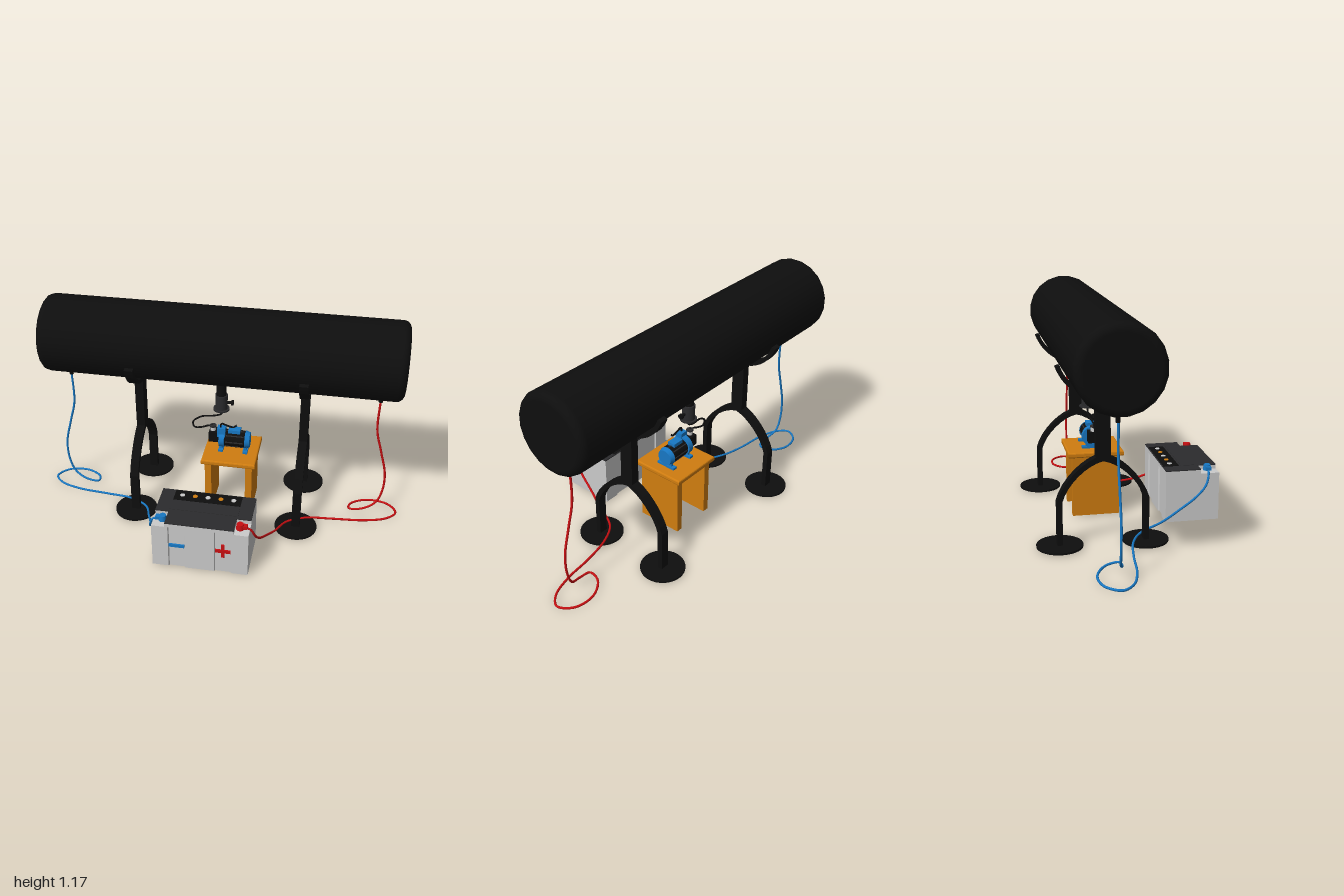
import * as THREE from 'three';

const mat = (name, color, side = THREE.FrontSide) => {
  const m = new THREE.MeshStandardMaterial({ color, side });
  m.name = name;
  return m;
};

export function createModel() {
  const black = mat('black', 0x0e0e0e), charcoal = mat('charcoal', 0x2b2b2d);
  const grey = mat('light grey', 0xcbcbcb), orange = mat('orange', 0xd07d10);
  const red = mat('red', 0xc80f12), blue = mat('blue', 0x1878c4);
  const root = new THREE.Group();
  root.name = 'tankAndBattery';

  const group = (name, parent = root) => {
    const g = new THREE.Group();
    g.name = name;
    parent.add(g);
    return g;
  };
  const add = (parent, name, geo, m, x = 0, y = 0, z = 0) => {
    const mesh = new THREE.Mesh(geo, m);
    mesh.name = name;
    mesh.position.set(x, y, z);
    parent.add(mesh);
    return mesh;
  };
  const box = (p, name, m, w, h, d, x, y, z) => add(p, name, new THREE.BoxGeometry(w, h, d), m, x, y, z);
  const cyl = (p, name, m, r1, r2, h, x, y, z, axis = 'y', n = 20) => {
    const g = new THREE.CylinderGeometry(r1, r2, h, n);
    if (axis === 'x') g.rotateZ(-Math.PI / 2);
    if (axis === 'z') g.rotateX(Math.PI / 2);
    return add(p, name, g, m, x, y, z);
  };
  const tube = (p, name, m, pts, r, n = 100) => add(p, name, new THREE.TubeGeometry(
    new THREE.CatmullRomCurve3(pts.map(a => new THREE.Vector3(...a)), false, 'centripetal'), n, r, 8), m);
  const V2 = (x, y) => new THREE.Vector2(x, y);
  const slab = (pts, depth, bevel = 0) => new THREE.ExtrudeGeometry(new THREE.Shape(pts), {
    depth, bevelEnabled: bevel > 0, bevelSize: bevel, bevelThickness: bevel, bevelOffset: -bevel, bevelSegments: 2
  });
  // Shape drawn in (z, y) and extruded across x
  const sideSlab = (pts, width) => slab(pts.map(p => V2(-p.x, p.y)), width).translate(0, 0, -width / 2).rotateY(Math.PI / 2);
  // Shape drawn in (x, z) and extruded upwards
  const planSlab = (pts, h) => slab(pts.map(([x, z]) => V2(x, -z)), h).rotateX(-Math.PI / 2);

  const CZ = -0.163, CY = 0.973;

  // Tank with rounded rims
  const rim = [];
  for (let i = 0; i <= 5; i++) {
    const a = (i / 5) * Math.PI / 2;
    rim.push(V2(0.167 + 0.04 * Math.cos(a), 0.91 + 0.04 * Math.sin(a)));
  }
  const tankProfile = [V2(0, -0.95), ...rim.map(p => V2(p.x, -p.y)).reverse(), ...rim, V2(0, 0.95)];
  const tankGeo = new THREE.LatheGeometry(tankProfile, 20, Math.PI / 20).rotateZ(-Math.PI / 2);
  add(root, 'tank', tankGeo, black, 0, CY, CZ);

  // Two stands: saddle, post, forked legs and round feet
  const saddle = [], N = 20;
  for (const r of [0.235, 0.213]) for (let i = 0; i <= N; i++) {
    const t = r > 0.22 ? i / N : 1 - i / N;
    const a = (-162 + 144 * t) * Math.PI / 180;
    saddle.push(V2(r * Math.cos(a), r * Math.sin(a)));
  }
  const arch = (rz, top, flip) => {
    const line = [V2(rz, 0.012), V2(rz, 0.24)];
    for (let i = 1; i <= 8; i++) {
      const t = i / 8, u = 1 - t;
      line.push(V2(rz * u ** 3 + 3 * u * u * t * rz * 0.88 + 3 * u * t * t * rz * 0.4,
        0.24 * u ** 3 + 3 * u * u * t * (0.24 + (top - 0.24) * 0.45) + 3 * u * t * t * (top - 0.015) + top * t ** 3));
    }
    line.push(...line.slice(0, -1).reverse().map(p => V2(-p.x, p.y)));
    return flip ? line.reverse() : line;
  };
  for (const s of [-1, 1]) {
    const g = group(s > 0 ? 'leftStand' : 'rightStand');
    g.position.set(s * 0.45, 0, CZ);
    add(g, 'saddle', sideSlab(saddle, 0.046), black, 0, CY, 0);
    box(g, 'post', black, 0.046, 0.33, 0.072, 0, 0.605, 0);
    add(g, 'legs', sideSlab([...arch(0.227, 0.465), ...arch(0.2, 0.435, true)], 0.046), black);
    for (const z of [-0.213, 0.213]) cyl(g, 'foot', black, 0.115, 0.115, 0.01, 0, 0.014, z, 'y', 32);
  }

  // Cables, one mirrored from the other, with a nipple under the tank
  const path = [[0.838, 0.75, -0.16], [0.838, 0.55, -0.16], [0.87, 0.42, -0.16], [0.905, 0.27, -0.16],
    [0.9, 0.15, -0.16], [0.87, 0.075, -0.155], [0.8, 0.04, -0.135], [0.73, 0.028, -0.14], [0.74, 0.02, -0.2],
    [0.83, 0.014, -0.255], [0.94, 0.012, -0.24], [0.99, 0.011, -0.17], [0.94, 0.01, -0.11],
    [0.82, 0.01, -0.07], [0.65, 0.012, -0.05], [0.5, 0.022, -0.02], [0.4, 0.028, 0.04], [0.35, 0.055, 0.16],
    [0.315, 0.1, 0.26], [0.29, 0.155, 0.355], [0.275, 0.21, 0.41], [0.25, 0.265, 0.43], [0.2, 0.283, 0.435]];
  for (const s of [-1, 1]) {
    const m = s > 0 ? red : blue, g = group(s > 0 ? 'redCable' : 'blueCable');
    tube(g, 'cable', m, path.map(([x, y, z]) => [s * x, y, z]), 0.006, 200);
    const nipple = [[0.006, 0], [0.011, 0], [0.011, 0.032], [0.04, 0.042], [0.045, 0.06]].map(p => V2(...p));
    add(g, 'nipple', new THREE.LatheGeometry(nipple, 16), black, s * 0.838, 0.725, CZ);
    // Battery terminal clamp
    cyl(g, 'terminal', m, 0.018, 0.022, 0.03, s * 0.2, 0.283, 0.435);
    box(g, 'clamp', m, 0.034, 0.018, 0.026, s * 0.22, 0.283, 0.435);
  }

  // Battery case with recessed panels on front and back
  const battery = group('battery');
  const fz = 0.487, bz = 0.203, d = 0.008;
  const front = [[-0.25, fz], [-0.165, fz], [-0.16, fz - d], [-0.08, fz - d], [-0.075, fz], [0.075, fz],
    [0.08, fz - d], [0.16, fz - d], [0.165, fz], [0.25, fz]];
  const back = front.map(([x, z]) => [-x, bz + fz - z]);
  add(battery, 'case', planSlab([...front, ...back], 0.255), grey, 0, 0.01, 0);
  const lid = [[-0.25, 0.388], [-0.18, 0.388], [-0.18, fz], [0.175, fz], [0.175, 0.388], [0.25, 0.388], [0.25, bz], [-0.25, bz]];
  add(battery, 'shoulder', planSlab(lid, 0.02), grey, 0, 0.265, 0);
  add(battery, 'lid', planSlab(lid, 0.005), charcoal, 0, 0.285, 0);
  box(battery, 'capStrip', black, 0.355, 0.003, 0.082, 0, 0.2905, 0.248);
  box(battery, 'lidPanel', charcoal, 0.355, 0.003, 0.07, 0, 0.2905, 0.336);
  for (let i = 0; i < 5; i++)
    cyl(battery, 'ventCap', i % 2 ? orange : grey, 0.013, 0.013, 0.004, -0.136 + i * 0.068, 0.293, 0.248);
  box(battery, 'minusSign', blue, 0.08, 0.017, 0.009, -0.12, 0.148, 0.484);
  box(battery, 'plusBar', red, 0.08, 0.017, 0.009, 0.12, 0.148, 0.486);
  box(battery, 'plusUpright', red, 0.017, 0.08, 0.008, 0.12, 0.148, 0.484);
  const mark = cyl(battery, 'bottomMark', black, 0.05, 0.05, 0.004, 0, 0.009, 0.345);
  mark.scale.z = 0.45;

  // Small table
  const table = group('table');
  const topShape = [V2(-0.148, 0), V2(0.148, 0), V2(0.148, 0.293), V2(-0.148, 0.293)];
  add(table, 'tableTop', slab(topShape, 0.014, 0.007).rotateX(-Math.PI / 2), orange, 0.062, 0.34, 0.014);
  for (const x of [-0.05, 0.174]) box(table, 'sidePanel', orange, 0.036, 0.325, 0.247, x, 0.1725, -0.133);

  // Pump with motor, feet, handle and intake
  const pump = group('pump');
  pump.position.set(0, 0, -0.14);
  cyl(pump, 'motor', black, 0.046, 0.046, 0.12, 0.078, 0.422, 0, 'x', 24);
  for (let i = 0; i < 8; i++) {
    const a = (i / 8) * Math.PI * 2;
    const fin = box(pump, 'coolingFin', charcoal, 0.1, 0.006, 0.006, 0.08, 0.422 + 0.046 * Math.sin(a), 0.046 * Math.cos(a));
    fin.rotation.x = -a;
  }
  cyl(pump, 'rearCover', blue, 0.042, 0.05, 0.026, 0.148, 0.422, 0, 'x', 24);
  cyl(pump, 'frontCover', blue, 0.054, 0.054, 0.03, 0.008, 0.425, 0, 'x', 24);
  box(pump, 'pumpHead', blue, 0.045, 0.055, 0.04, 0.005, 0.472, 0.018);
  box(pump, 'junctionBox', blue, 0.065, 0.02, 0.045, 0.075, 0.475, 0);
  for (const x of [0.005, 0.14]) {
    box(pump, 'foot', blue, 0.026, 0.012, 0.11, x, 0.367, 0);
    box(pump, 'footWeb', blue, 0.014, 0.03, 0.07, x, 0.382, 0);
  }
  box(pump, 'intakeBlock', black, 0.055, 0.06, 0.06, -0.037, 0.435, 0);
  cyl(pump, 'intakeCap', grey, 0.015, 0.015, 0.03, -0.045, 0.478, 0);
  cyl(pump, 'intakeRing', charcoal, 0.019, 0.019, 0.008, -0.045, 0.492, 0);
  tube(pump, 'handle', black, [[0, 0.495, 0.02], [0.005, 0.522, 0.02], [0.04, 0.512, 0.02], [0.07, 0.506, 0.02], [0.09, 0.522, 0.02]], 0.005, 24);

  // Outlet valve under the tank and its hose
  const valve = group('valve');
  valve.position.set(-0.003, 0, CZ);
  cyl(valve, 'neckFlare', black, 0.045, 0.028, 0.025, 0, 0.762, 0);
  cyl(valve, 'neck', black, 0.028, 0.028, 0.09, 0, 0.72, 0);
  cyl(valve, 'valveBody', charcoal, 0.034, 0.034, 0.085, 0, 0.638, 0);
  cyl(valve, 'valveFlange', charcoal, 0.045, 0.045, 0.008, 0, 0.593, 0);
  cyl(valve, 'valveStem', black, 0.008, 0.008, 0.03, 0.044, 0.635, 0, 'x');
  cyl(valve, 'valveKnob', black, 0.015, 0.015, 0.012, 0.06, 0.635, 0, 'x');
  tube(root, 'hose', black, [[0, 0.595, CZ], [-0.002, 0.56, CZ], [-0.04, 0.543, CZ], [-0.11, 0.535, -0.155],
    [-0.158, 0.5, -0.15], [-0.15, 0.47, -0.145], [-0.11, 0.475, -0.14], [-0.07, 0.49, -0.14], [-0.045, 0.492, -0.14]], 0.005, 60);
  return root;
}
